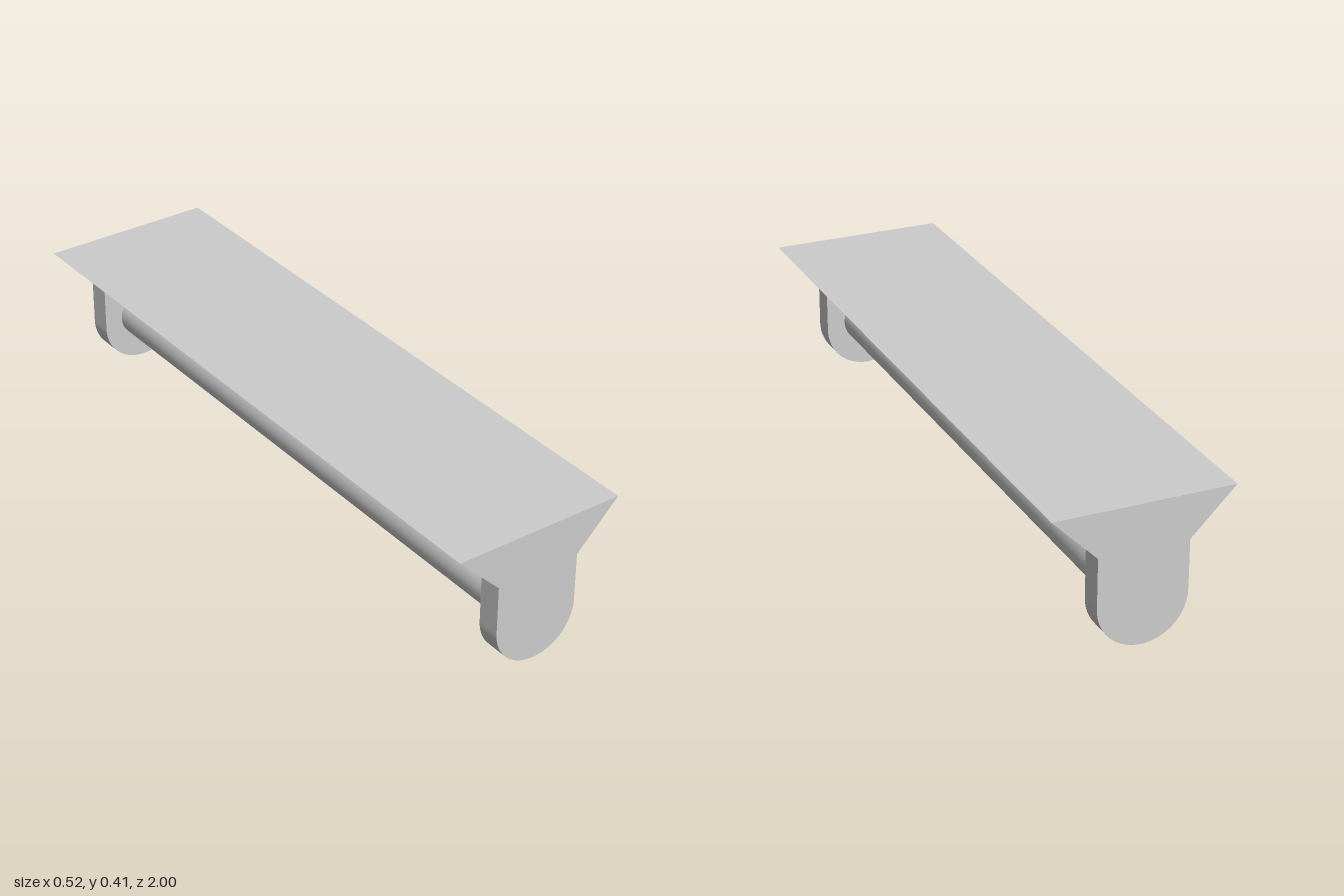
import * as THREE from 'three';
import { toCreasedNormals } from 'three/addons/utils/BufferGeometryUtils.js';

const HALF_LENGTH = 1;
const BRACKET_DEPTH = 0.07;
const HALF_WIDTH = 0.131; // bracket half width and end radius
const HOUSING_BOTTOM = 0.278;
const HOUSING_TOP = 0.409;

export function createModel() {
  const group = new THREE.Group();
  const material = new THREE.MeshStandardMaterial({ color: 0xcccccc });

  const add = (name, geometry, z = 0) => {
    const mesh = new THREE.Mesh(geometry, material);
    mesh.name = name;
    mesh.position.z = z;
    group.add(mesh);
    return mesh;
  };

  // Extrudes a front-facing profile, centred along z
  const extrude = (shape, depth) => {
    const geometry = new THREE.ExtrudeGeometry(shape, { depth, bevelEnabled: false, curveSegments: 48 });
    geometry.translate(0, 0, -depth / 2);
    return toCreasedNormals(geometry, Math.PI / 6);
  };

  // Flared housing with a flat top and sloping sides
  const housing = new THREE.Shape([
    new THREE.Vector2(-HALF_WIDTH, HOUSING_BOTTOM),
    new THREE.Vector2(HALF_WIDTH, HOUSING_BOTTOM),
    new THREE.Vector2(HALF_WIDTH * 2, HOUSING_TOP),
    new THREE.Vector2(-HALF_WIDTH * 2, HOUSING_TOP),
  ]);
  add('housing', extrude(housing, HALF_LENGTH * 2));

  // Round-bottomed end brackets, flush with the housing ends
  const bracket = new THREE.Shape();
  bracket.moveTo(HALF_WIDTH, HOUSING_BOTTOM);
  bracket.lineTo(-HALF_WIDTH, HOUSING_BOTTOM);
  bracket.lineTo(-HALF_WIDTH, HALF_WIDTH);
  bracket.absarc(0, HALF_WIDTH, HALF_WIDTH, Math.PI, Math.PI * 2, false);
  bracket.closePath();
  const bracketGeometry = extrude(bracket, BRACKET_DEPTH);
  const bracketZ = HALF_LENGTH - BRACKET_DEPTH / 2;
  add('frontBracket', bracketGeometry, bracketZ);
  add('backBracket', bracketGeometry, -bracketZ);

  // Round tube held between the brackets
  const tubeLength = (HALF_LENGTH - BRACKET_DEPTH) * 2;
  const tube = add('tube', new THREE.CylinderGeometry(0.074, 0.074, tubeLength, 64));
  tube.rotation.x = Math.PI / 2;
  tube.position.y = 0.151;

  return group;
}
